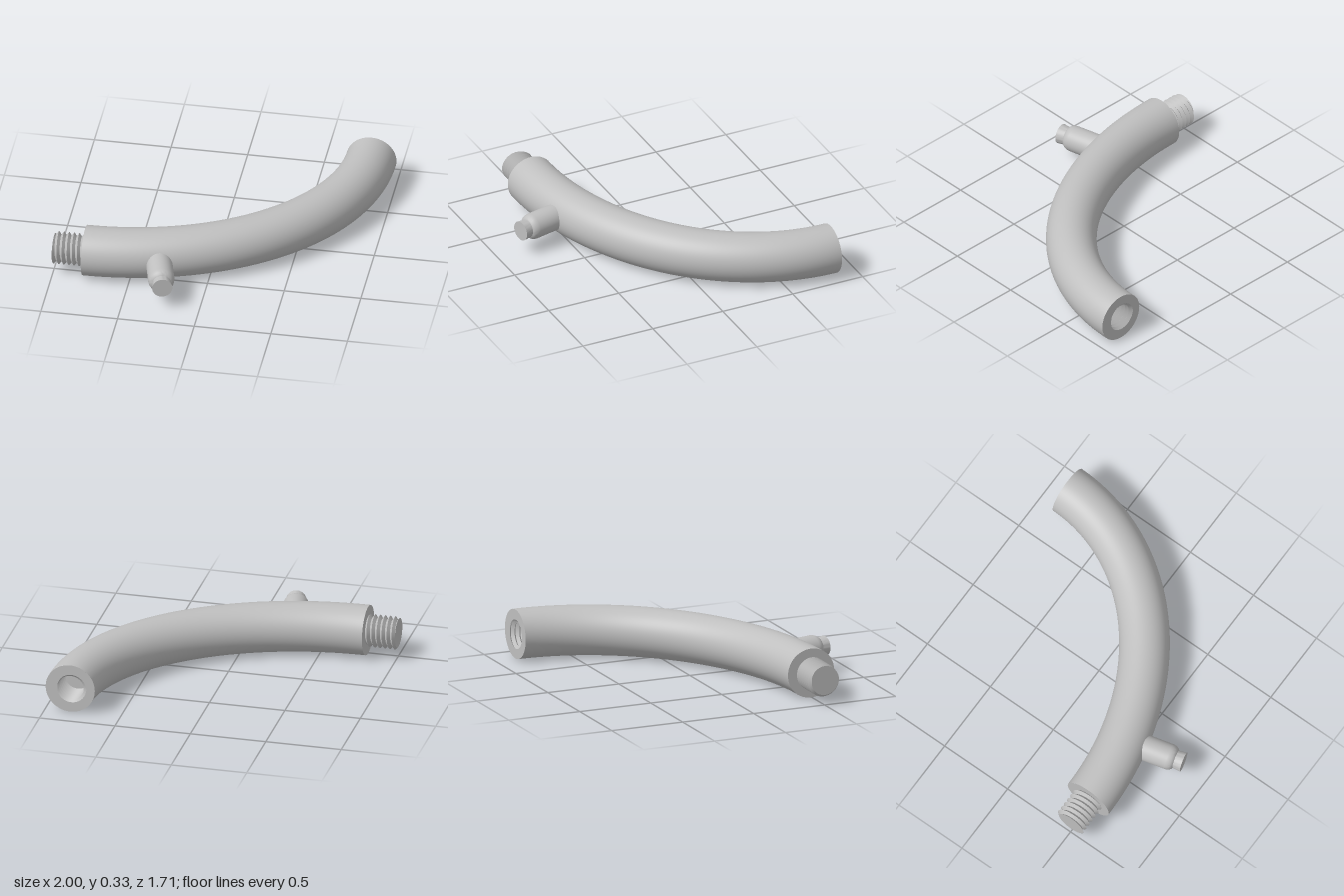
import * as THREE from 'three';
import { toCreasedNormals } from 'three/addons/utils/BufferGeometryUtils.js';

const R = 0.163;                        // pipe radius, also the height of its axis
const CX = -0.8, CZ = -0.855;           // centre of the quarter-ellipse bend
const A = 1.633, B = 1.35;              // half axes of the bend

class Bend extends THREE.Curve {
  getPoint(t, target = new THREE.Vector3()) {
    const a = t * Math.PI / 2;
    return target.set(CX + A * Math.sin(a), R, CZ + B * Math.cos(a));
  }
}

// Helical V-thread along +z, closed at each end by a flat ring or disc
function threadGeometry({ length, root, crest, turns, startRadius, endRadius, inward }) {
  const seg = 48, pitch = length / turns, pos = [], index = [];
  const put = (r, a, s) => pos.push(r * Math.cos(a), r * Math.sin(a), s);
  const rows = 2 * turns + 5;
  for (let i = 0; i < rows; i++) {
    for (let j = 0; j <= seg; j++) {
      const f = j / seg, a = f * Math.PI * 2;
      if (i === 0) { put(startRadius, a, 0); continue; }
      if (i === rows - 1) { put(endRadius, a, length); continue; }
      const s = THREE.MathUtils.clamp(((i - 3) / 2 + f) * pitch, 0, length);
      const p = s / pitch - f;
      const tri = 2 * Math.abs(p - Math.round(p));
      put(root + (crest - root) * tri, a, s);
    }
  }
  for (let i = 0; i < rows - 1; i++) {
    for (let j = 0; j < seg; j++) {
      const a = i * (seg + 1) + j, b = a + 1, c = a + seg + 1, d = c + 1;
      if (inward) index.push(a, c, b, b, c, d);
      else index.push(a, b, c, b, d, c);
    }
  }
  const g = new THREE.BufferGeometry();
  g.setAttribute('position', new THREE.Float32BufferAttribute(pos, 3));
  g.setIndex(index);
  return toCreasedNormals(g, 0.5);
}

export function createModel() {
  const group = new THREE.Group();
  const metal = new THREE.MeshStandardMaterial({ color: 0xbfbfbf });
  metal.name = 'greyMetal';
  const add = (name, geometry) => {
    const mesh = new THREE.Mesh(geometry, metal);
    mesh.name = name;
    group.add(mesh);
    return mesh;
  };

  // Curved pipe
  add('curvedPipe', new THREE.TubeGeometry(new Bend(), 96, R, 64, false));

  // Threaded stud, ending in the shoulder that closes the pipe
  const thread = { length: 0.2, root: 0.085, crest: 0.107, turns: 6 };
  const stud = add('threadedStud', threadGeometry({ ...thread, startRadius: 0, endRadius: R }));
  stud.rotation.y = Math.PI / 2;
  stud.position.set(-1, R, CZ + B);

  // Threaded socket, beginning with the rim of the pipe's open end
  const socket = add('threadedSocket', threadGeometry({ ...thread, startRadius: R, endRadius: 0, inward: true }));
  socket.position.set(CX + A, R, CZ);

  // Side fitting, square to the bend
  const profile = [
    [0, 0], [0.085, 0], [0.085, 0.315], [0.083, 0.33], [0.077, 0.345], [0.069, 0.356],
    [0.06, 0.361], [0.06, 0.37], [0.065, 0.415], [0, 0.415],
  ].map(([r, y]) => new THREE.Vector2(r, y));
  const fitting = add('sideFitting', toCreasedNormals(new THREE.LatheGeometry(profile, 48), 0.6));
  const sin = 0.285, cos = Math.sqrt(1 - sin * sin);
  fitting.position.set(CX + A * sin, R, CZ + B * cos);
  fitting.quaternion.setFromUnitVectors(
    new THREE.Vector3(0, 1, 0),
    new THREE.Vector3(sin / A, 0, cos / B).normalize(),
  );

  return group;
}
